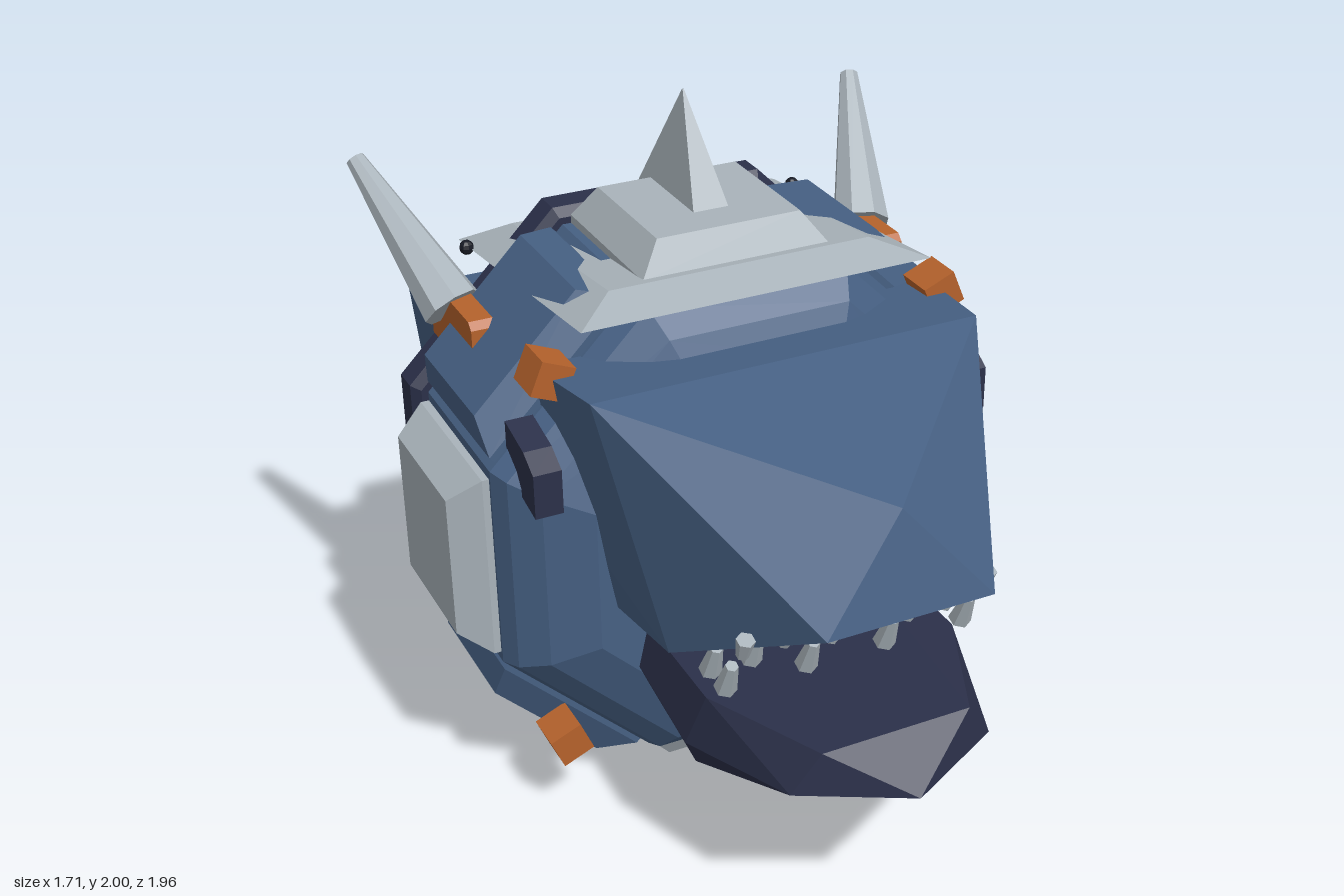
import * as THREE from 'three';
import { ConvexGeometry } from 'three/addons/geometries/ConvexGeometry.js';

const CY = 0.855; // height of the octagonal body's axis

function material(name, color) {
  const m = new THREE.MeshStandardMaterial({ color, flatShading: true });
  m.name = name;
  return m;
}

// Box whose top face is a different size from its base; base sits on y = 0.
function frustum(w, d, topW, topD, h) {
  const g = new THREE.BoxGeometry(w, h, d).translate(0, h / 2, 0);
  const p = g.attributes.position;
  for (let i = 0; i < p.count; i++) {
    if (p.getY(i) > h / 2) {
      p.setX(i, p.getX(i) * topW / w);
      p.setZ(i, p.getZ(i) * topD / d);
    }
  }
  return g;
}

// Octagonal solid along z from [apothem, z] pairs.
function octagon(profile) {
  const k = 1 / Math.cos(Math.PI / 8);
  const pts = profile.map(([a, z]) => new THREE.Vector2(a * k, z));
  return new THREE.LatheGeometry(pts, 8, Math.PI / 8).rotateX(Math.PI / 2).translate(0, CY, 0);
}

// Convex hull of points mirrored in x.
function mirroredHull(points) {
  const all = [];
  for (const [x, y, z] of points) {
    all.push(new THREE.Vector3(x, y, z));
    if (x) all.push(new THREE.Vector3(-x, y, z));
  }
  return new ConvexGeometry(all);
}

// Tapered rod between two points.
function rod(a, b, ra, rb, sides) {
  const from = new THREE.Vector3(...a), to = new THREE.Vector3(...b);
  const dir = to.clone().sub(from);
  const g = new THREE.CylinderGeometry(rb, ra, dir.length(), sides);
  g.applyQuaternion(new THREE.Quaternion().setFromUnitVectors(new THREE.Vector3(0, 1, 0), dir.normalize()));
  return g.translate(...from.add(to).multiplyScalar(0.5).toArray());
}

// Side-view outline of [z, y] points given thickness from x0 to x1.
function sidePlate(outline, x0, x1) {
  const s = new THREE.Shape(outline.map(([z, y]) => new THREE.Vector2(-z, y)));
  return new THREE.ExtrudeGeometry(s, { depth: x1 - x0, bevelEnabled: false })
    .rotateY(Math.PI / 2).translate(x0, 0, 0);
}

export function createModel() {
  const root = new THREE.Group();
  const blue = material('steel blue', 0x466083);
  const navy = material('dark navy', 0x2b3049);
  const grey = material('light grey', 0xa9b3ba);
  const orange = material('orange', 0xb5622c);
  const black = material('rivet black', 0x171a24);
  const add = (name, geo, mat, parent = root) => {
    const m = new THREE.Mesh(geo, mat);
    m.name = name;
    parent.add(m);
    return m;
  };

  // Body and the dark band near its back
  add('body', octagon([[0, -0.75], [0.54, -0.75], [0.67, -0.69], [0.74, -0.6],
    [0.745, -0.06], [0.72, 0], [0.65, 0.07], [0.52, 0.13], [0, 0.13]]), blue);
  add('bandRing', octagon([[0.64, -0.67], [0.67, -0.7], [0.76, -0.7], [0.785, -0.675],
    [0.785, -0.595], [0.76, -0.57], [0.67, -0.57], [0.64, -0.6], [0.64, -0.67]]), navy);

  // Eight armour panels round the body
  for (let i = 0; i < 8; i++) {
    const pivot = new THREE.Group();
    pivot.name = 'panelMount';
    pivot.position.set(0, CY, -0.32);
    pivot.rotation.z = i * Math.PI / 4;
    root.add(pivot);
    add('armourBase', new THREE.BoxGeometry(0.56, 0.06, 0.5).translate(0, 0.735, 0), i % 2 ? blue : grey, pivot);
    add('armourPanel', frustum(0.56, 0.5, 0.43, 0.4, 0.09).translate(0, 0.765, 0), i % 2 ? blue : grey, pivot);
  }

  // Jaws running through the body
  add('upperJaw', mirroredHull([[0, 1.33, 0.83], [0.24, 1.05, 0.9], [0.57, 1.47, 0.24],
    [0.44, 0.77, 0.4], [0.69, 1.37, -0.84], [0.59, 0.73, -0.98]]), blue);
  add('lowerJaw', mirroredHull([[0, 0.54, 0.98], [0.22, 0.67, 0.85], [0.38, 0.67, 0.5],
    [0.3, 0.55, 0.83], [0.42, 0.5, 0.45], [0.38, 0.41, 0.43], [0.38, 0.69, -0.9], [0.38, 0.68, -0.9]]), navy);

  // Teeth
  for (let i = -3; i <= 3; i++) {
    const x = i * 0.119;
    add('upperTooth', rod([x, 0.905, 0.67], [x, 0.965, 0.69], 0.018, 0.026, 6), grey);
    const z = i % 2 ? 0.59 : 0.5;
    add('lowerTooth', rod([x, 0.74, z - 0.02], [x, 0.835, z + 0.02], 0.032, 0.018, 6), grey);
  }
  for (const s of [-1, 1]) {
    add('cornerTooth', rod([s * 0.357, 0.74, 0.57], [s * 0.357, 0.835, 0.61], 0.032, 0.018, 6), grey);
    add('cornerTooth', rod([s * 0.357, 0.74, 0.48], [s * 0.357, 0.835, 0.52], 0.032, 0.018, 6), grey);
  }

  // Tilted crown plate, rivets and crest spike
  const plate = add('crownPlate', frustum(1.04, 0.95, 0.78, 0.72, 0.055), grey);
  plate.position.set(0, 1.53, -0.395);
  plate.rotation.x = -0.117;
  for (let i = 0; i < 8; i++) {
    const x = -0.53 + i * 1.06 / 7;
    add('rivet', new THREE.SphereGeometry(0.022, 8, 6).translate(x, 1.492, -0.765), black);
  }
  add('crestSpike', frustum(0.13, 0.42, 0.004, 0.004, 0.36).translate(0, 1.64, -0.405), grey);

  // Mirrored horns, sockets, blocks and cheek fins
  for (const s of [-1, 1]) {
    const side = new THREE.Group();
    side.name = s > 0 ? 'leftFittings' : 'rightFittings';
    root.add(side);
    add('horn', rod([s * 0.655, 1.42, -0.55], [s * 0.795, 1.765, -0.895], 0.088, 0.028, 8), grey, side);
    const socket = sidePlate([[-0.34, 1.44], [-0.36, 1.46], [-0.61, 1.46], [-0.68, 1.39],
      [-0.68, 1.26], [-0.58, 1.25], [-0.5, 1.35], [-0.34, 1.36]].reverse(), -0.035, 0.035);
    add('hornSocket', socket.translate(s * 0.64, 0, 0), orange, side);
    const fin = sidePlate([[0.125, 1.23], [0.06, 1.27], [-0.07, 1.3], [-0.07, 1.14], [0.125, 1.1]].reverse(), -0.04, 0.04);
    add('cheekFin', fin.rotateZ(0).translate(s * 0.65, 0, 0), navy, side);
    for (const [y, tilt] of [[0.27, 0.4], [1.445, -0.4]]) {
      const cube = add('clampBlock', new THREE.BoxGeometry(0.1, 0.1, 0.12), orange, side);
      cube.position.set(s * 0.59, y, -0.015);
      cube.rotation.z = -s * tilt;
    }
  }
  return root;
}
